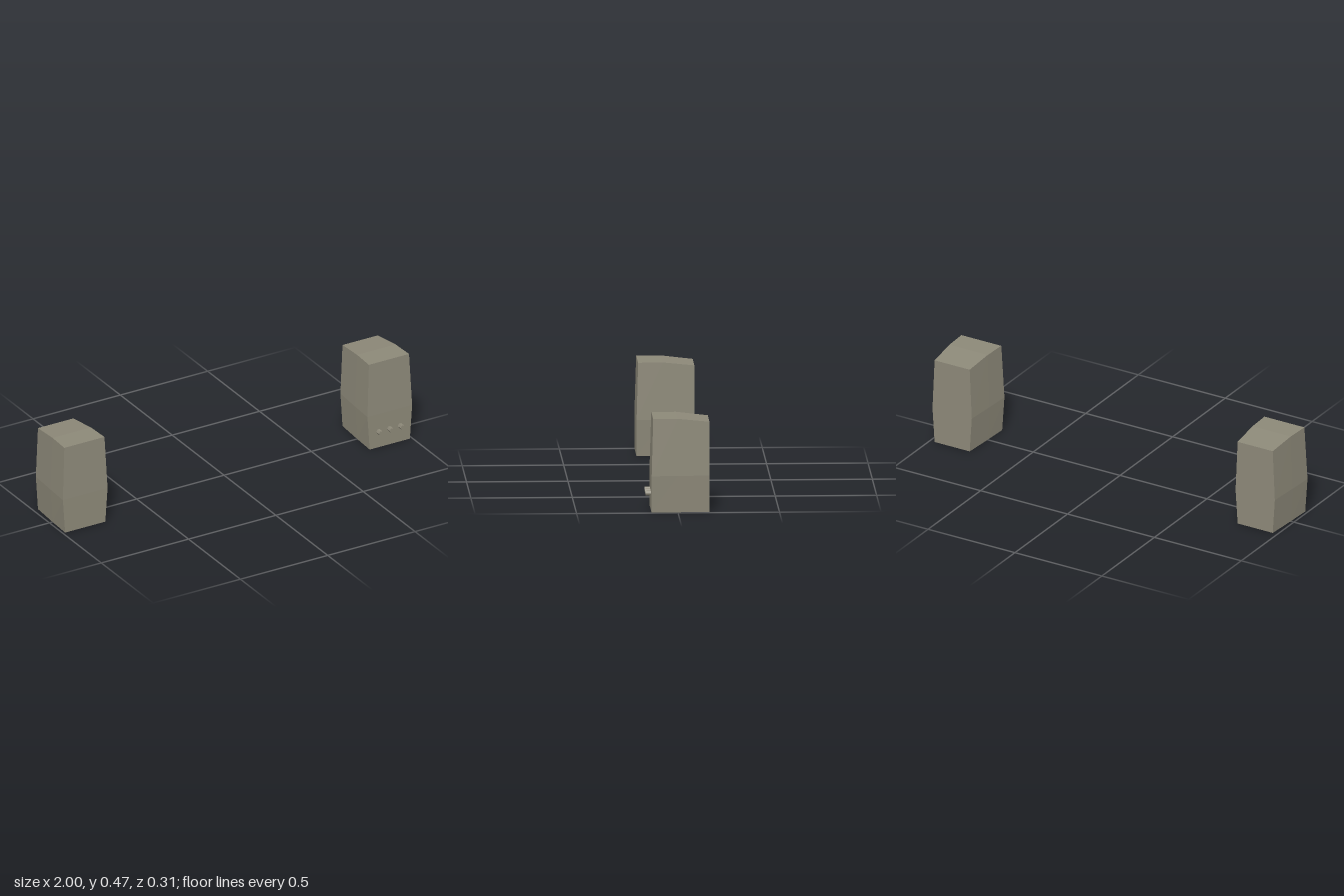
import * as THREE from 'three';

// One cross-section: six corners, counter-clockwise seen from the front
function ring(halfEnd, halfMid, zLow, zTop, top) {
  const mid = 0.183;
  return [
    [-halfEnd, 0, zLow], [halfEnd, 0, zLow],
    [halfMid, mid, zLow],
    [halfEnd, top, zTop], [-halfEnd, top, zTop],
    [-halfMid, mid, zLow],
  ];
}

// Cabinet: bulging at the waist, tapering to the back, with a sloped rear top
function cabinetGeometry() {
  const rings = [
    ring(0.115, 0.128, 0.13, 0.122, 0.466),
    ring(0.110, 0.122, 0, 0, 0.466),
    ring(0.101, 0.113, -0.156, -0.156, 0.449),
  ];
  const positions = [];
  const quad = (a, b, c, d) => positions.push(...a, ...b, ...c, ...a, ...c, ...d);
  for (let k = 0; k < rings.length - 1; k++) {
    for (let i = 0; i < 6; i++) {
      const j = (i + 1) % 6;
      quad(rings[k][i], rings[k + 1][i], rings[k + 1][j], rings[k][j]);
    }
  }
  const [front, , back] = rings;
  quad(front[0], front[1], front[2], front[5]);
  quad(front[5], front[2], front[3], front[4]);
  quad(back[1], back[0], back[5], back[2]);
  quad(back[2], back[5], back[4], back[3]);
  const geometry = new THREE.BufferGeometry();
  geometry.setAttribute('position', new THREE.Float32BufferAttribute(positions, 3));
  geometry.computeVertexNormals();
  return geometry;
}

export function createModel() {
  const model = new THREE.Group();
  model.name = 'speakerPair';
  const material = new THREE.MeshStandardMaterial({ color: 0x8c8878, flatShading: true });
  material.name = 'warm grey';

  const cabinet = cabinetGeometry();
  for (const side of [-1, 1]) {
    const speaker = new THREE.Group();
    speaker.name = side > 0 ? 'leftSpeaker' : 'rightSpeaker';
    speaker.position.x = side * 0.872;
    const body = new THREE.Mesh(cabinet, material);
    body.name = 'cabinet';
    speaker.add(body);

    // Row of three hexagonal knobs on the left speaker only
    if (side > 0) {
      const knobGeometry = new THREE.CylinderGeometry(0.013, 0.013, 0.032, 6, 1, false, Math.PI / 6);
      knobGeometry.rotateX(Math.PI / 2);
      for (const x of [-0.065, -0.003, 0.059]) {
        const knob = new THREE.Mesh(knobGeometry, material);
        knob.name = 'knob';
        knob.position.set(x, 0.088, 0.141);
        speaker.add(knob);
      }
    }
    model.add(speaker);
  }
  return model;
}
